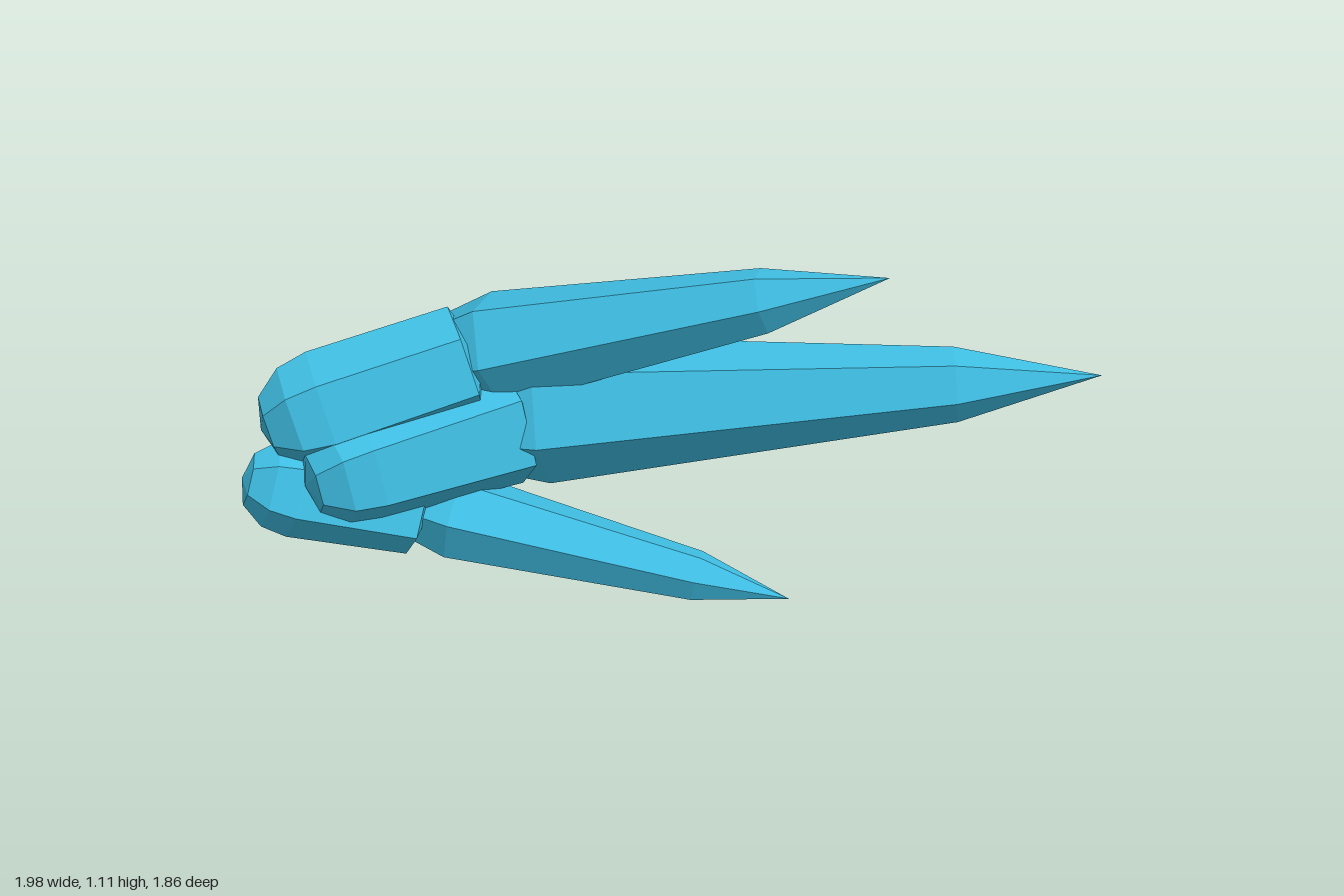
import * as THREE from 'three';

const material = new THREE.MeshStandardMaterial({ color: 0x3fbfe4, flatShading: true });
const vec = (p) => new THREE.Vector3(...p);

// Faceted solid of revolution; profile is [radius, distance along the axis from start]
function facetedPart(name, start, end, profile, sides, roll) {
  const points = profile.map(([r, d]) => new THREE.Vector2(r, d));
  const geometry = new THREE.LatheGeometry(points, sides);
  geometry.rotateY(roll);
  const mesh = new THREE.Mesh(geometry, material);
  const axis = vec(end).sub(vec(start)).normalize();
  mesh.quaternion.setFromUnitVectors(new THREE.Vector3(0, 1, 0), axis);
  mesh.position.copy(vec(start));
  mesh.name = name;
  return mesh;
}

// One bent claw: a rounded knuckle segment and a long pointed talon
function claw({ name, head, headR, knuckleEnd, endR, joint, jointR, shoulder, shoulderR, tip, roll }) {
  const group = new THREE.Group();
  group.name = name;

  // Knuckle: domed front, widening to a ring whose corners poke out of the talon
  const len = vec(head).distanceTo(vec(knuckleEnd));
  group.add(facetedPart('knuckle', head, knuckleEnd, [
    [0, -headR],
    [headR * 0.55, -headR * 0.86],
    [headR * 0.92, -headR * 0.4],
    [headR * 1.03, headR * 0.15],
    [endR, len],
    [0, len + endR * 0.3],
  ], 6, roll));

  // Talon: tapered root at the joint, slow taper to the shoulder, then a sharp tip
  const reach = vec(tip).distanceTo(vec(joint));
  const neck = vec(shoulder).distanceTo(vec(joint));
  group.add(facetedPart('talon', joint, tip, [
    [0, -jointR * 1.4],
    [jointR * 0.76, -jointR * 0.75],
    [jointR, jointR * 0.2],
    [shoulderR, neck],
    [0, reach],
  ], 6, roll + 0.3));
  return group;
}

export function createModel() {
  const model = new THREE.Group();
  model.name = 'claws';
  const claws = [
    {
      name: 'upperClaw', head: [-0.8, 0.62, 0.69], headR: 0.18,
      knuckleEnd: [-0.54, 0.74, 0.3], endR: 0.18, joint: [-0.52, 0.76, 0.23], jointR: 0.185,
      shoulder: [0.29, 0.985, -0.13], shoulderR: 0.1, tip: [0.585, 1.105, -0.36], roll: 0.2,
    },
    {
      name: 'middleClaw', head: [-0.65, 0.46, 0.66], headR: 0.175,
      knuckleEnd: [-0.46, 0.53, 0.2], endR: 0.215, joint: [-0.43, 0.55, 0.13], jointR: 0.235,
      shoulder: [0.69, 0.69, -0.59], shoulderR: 0.117, tip: [0.995, 0.74, -0.925], roll: 0.5,
    },
    {
      name: 'lowerClaw', head: [-0.85, 0.375, 0.78], headR: 0.15,
      knuckleEnd: [-0.62, 0.25, 0.47], endR: 0.135, joint: [-0.57, 0.235, 0.38], jointR: 0.145,
      shoulder: [0.13, 0.09, -0.03], shoulderR: 0.082, tip: [0.345, 0.005, -0.235], roll: 0.1,
    },
  ];
  claws.forEach((c) => model.add(claw(c)));
  return model;
}
